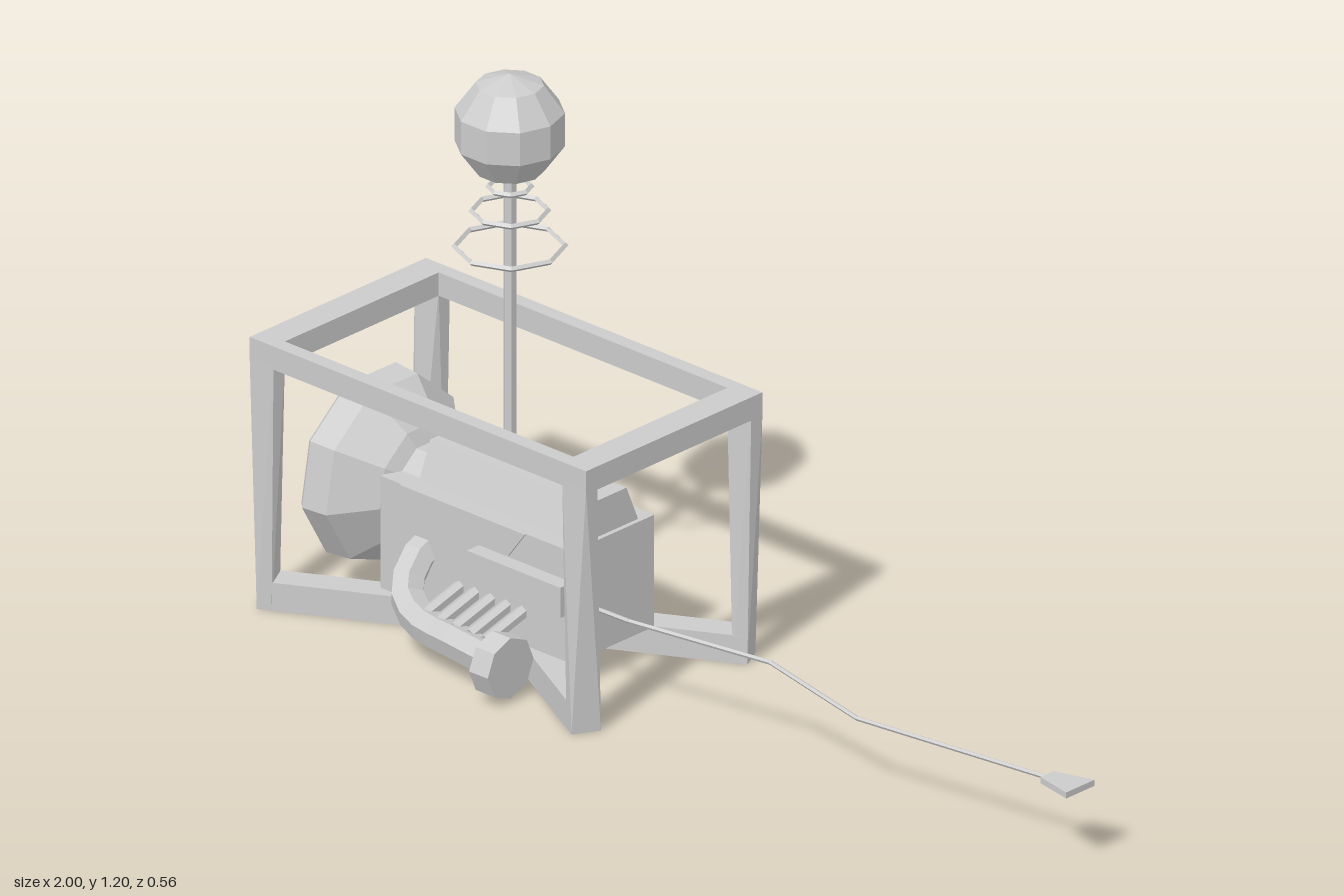
import * as THREE from 'three';
import { ConvexGeometry } from 'three/addons/geometries/ConvexGeometry.js';

const CX = -0.55, CZ = -0.02; // centre of the frame and machine
const V = (x, y, z) => new THREE.Vector3(x, y, z);

export function createModel() {
  const model = new THREE.Group();
  const mat = new THREE.MeshStandardMaterial({ color: 0xcccccc, flatShading: true });

  const add = (name, geo, x = 0, y = 0, z = 0, parent = model) => {
    const m = new THREE.Mesh(geo, mat);
    m.name = name;
    m.position.set(x, y, z);
    parent.add(m);
    return m;
  };
  const box = (name, w, h, d, x, y, z, parent) =>
    add(name, new THREE.BoxGeometry(w, h, d), x, y, z, parent);
  // straight rod between two points
  const rod = (name, a, b, r, sides, parent) => {
    const d = b.clone().sub(a), mid = a.clone().add(b).multiplyScalar(0.5);
    const m = add(name, new THREE.CylinderGeometry(r, r, d.length(), sides), mid.x, mid.y, mid.z, parent);
    m.quaternion.setFromUnitVectors(V(0, 1, 0), d.normalize());
    return m;
  };

  // Carrying frame: rectangular top, crossed base, twisting corner posts
  const frame = new THREE.Group();
  frame.name = 'frame';
  frame.position.set(CX, 0, CZ);
  model.add(frame);
  for (const s of [-1, 1]) {
    box('topLongRail', 0.9, 0.05, 0.032, 0, 0.546, s * 0.234, frame);
    box('topEndRail', 0.064, 0.05, 0.436, s * 0.418, 0.546, 0, frame);
  }
  const baseX = 0.422, baseZ = 0.227, len = Math.hypot(baseX, baseZ);
  for (const s of [-1, 1]) {
    const bar = box('baseDiagonal', len * 2, 0.06, 0.06, 0, 0.03, 0, frame);
    bar.rotation.y = s * Math.atan2(baseZ, baseX);
  }
  for (const sx of [-1, 1]) for (const sz of [-1, 1]) {
    const along = V(sx * baseX, 0, sz * baseZ).normalize();
    const across = V(-along.z, 0, along.x);
    const pts = [];
    for (const i of [-1, 1]) for (const j of [-1, 1]) {
      pts.push(V(sx * 0.418 + i * 0.032, 0.53, sz * 0.234 + j * 0.016));
      pts.push(V(sx * baseX, 0, sz * baseZ).addScaledVector(along, i * 0.015).addScaledVector(across, j * 0.03));
    }
    add('cornerPost', new ConvexGeometry(pts), 0, 0, 0, frame);
  }

  // Machine housing with a tapered cover and hanging side flaps
  box('housing', 0.51, 0.24, 0.235, -0.52, 0.18, CZ);
  const cover = [];
  for (const x of [-0.705, -0.275])
    cover.push(V(x, 0.295, 0.065), V(x, 0.295, -0.105), V(x, 0.378, 0.03), V(x, 0.378, -0.07));
  add('cover', new ConvexGeometry(cover));
  const flap = new THREE.Shape([[-0.72, 0.3], [-0.665, 0.24], [-0.43, 0.24], [-0.385, 0.3]]
    .map(p => new THREE.Vector2(...p)));
  const flapGeo = new THREE.ExtrudeGeometry(flap, { depth: 0.006, bevelEnabled: false });
  add('coverFlap', flapGeo, 0, 0, 0.096);
  add('coverFlap', flapGeo, 0, 0, -0.142);

  // Nine-sided bell on the end of the housing
  const bell = add('bell', new THREE.LatheGeometry(
    [[0, 0.225], [0.185, 0.225], [0.2, 0.21], [0.195, 0.15], [0.122, 0.075], [0.09, 0.06], [0.09, -0.01], [0, -0.01]]
      .reverse().map(p => new THREE.Vector2(...p)), 9), -0.7, 0.25, CZ);
  bell.rotation.z = Math.PI / 2;
  bell.geometry.rotateY(Math.PI / 2 + Math.PI / 9);

  // Mast with rings and a faceted ball
  rod('mast', V(-0.54, 0.36, CZ), V(-0.54, 1.0, CZ), 0.013, 6);
  for (const [y, r] of [[0.829, 0.108], [0.905, 0.075], [0.957, 0.042]]) {
    const ring = add('mastRing', new THREE.TorusGeometry(r, 0.006, 4, 8), -0.54, y, CZ);
    ring.rotation.x = Math.PI / 2;
  }
  add('ball', new THREE.SphereGeometry(0.114, 10, 5), -0.54, 1.085, CZ);

  // Bent exhaust pipe with stubs and end flange
  const path = new THREE.CatmullRomCurve3([
    V(-0.665, 0.18, 0.07), V(-0.662, 0.155, 0.125), V(-0.64, 0.108, 0.165),
    V(-0.58, 0.083, 0.19), V(-0.46, 0.078, 0.205), V(-0.35, 0.074, 0.215)]);
  add('exhaustPipe', new THREE.TubeGeometry(path, 10, 0.036, 6));
  const flange = add('exhaustFlange', new THREE.CylinderGeometry(0.065, 0.065, 0.05, 8), -0.34, 0.074, 0.216);
  flange.rotation.z = Math.PI / 2;
  for (let i = 0; i < 5; i++) {
    const x = -0.565 + i * 0.042;
    rod('exhaustStub', V(x, 0.13, 0.09), V(x, 0.1, 0.2), 0.014, 6);
  }

  // Side control box, cable and flat end paddle
  box('controlBox', 0.25, 0.065, 0.035, -0.387, 0.203, 0.114);
  const cable = [V(-0.28, 0.208, 0.112), V(-0.1, 0.208, 0.108), V(0.23, 0.208, 0.057), V(0.46, 0.161, 0.055), V(0.93, 0.161, -0.003)];
  for (let i = 0; i < cable.length - 1; i++) rod('cable', cable[i], cable[i + 1], 0.005, 5);
  const paddle = [];
  for (const y of [0.155, 0.168])
    paddle.push(V(0.915, y, 0.018), V(0.915, y, -0.02), V(1, y, 0.035), V(1, y, -0.045));
  add('paddle', new ConvexGeometry(paddle));

  return model;
}
